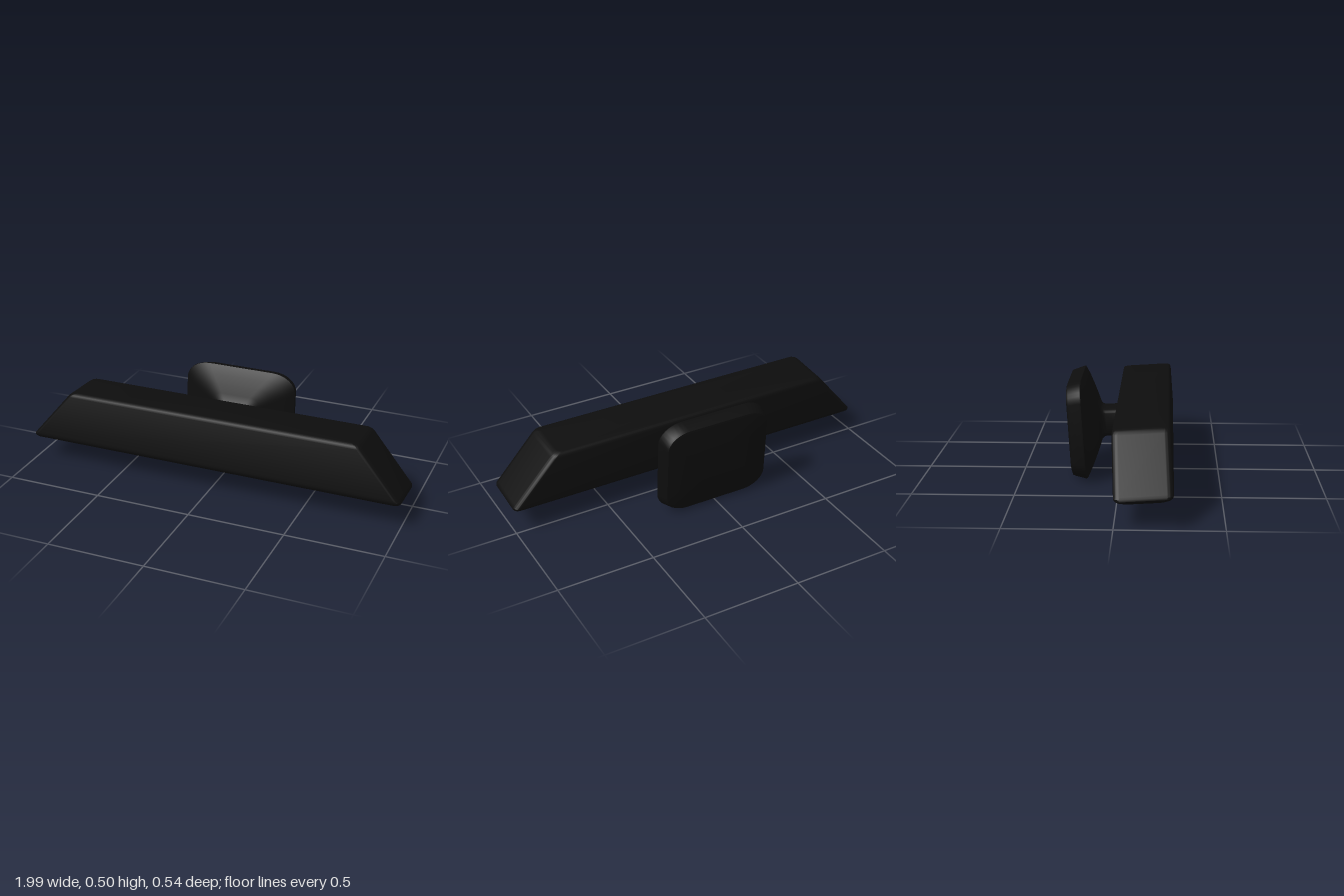
import * as THREE from 'three';
import { toCreasedNormals } from 'three/addons/utils/BufferGeometryUtils.js';

// Stack of rounded rectangles along y. Layer: [y, half width, half depth]
function loft(layers, radii, steps = 8) {
  const pos = [];
  const rings = layers.map(([y, a, b]) => {
    const [rx, rz] = radii(a, b);
    const ring = [];
    for (let q = 0; q < 4; q++) {
      const cx = (q === 0 || q === 3 ? 1 : -1) * (a - rx);
      const cz = (q < 2 ? 1 : -1) * (b - rz);
      for (let k = 0; k <= steps; k++) {
        const t = (q + k / steps) * Math.PI / 2;
        ring.push([cx + rx * Math.cos(t), y, cz + rz * Math.sin(t)]);
      }
    }
    return ring;
  });
  const tri = (...points) => points.forEach((p) => pos.push(...p));
  const n = rings[0].length;
  const last = rings.length - 1;
  for (let j = 0; j < n; j++) {
    const k = (j + 1) % n;
    for (let i = 0; i < last; i++) {
      tri(rings[i][j], rings[i + 1][j], rings[i][k]);
      tri(rings[i][k], rings[i + 1][j], rings[i + 1][k]);
    }
    tri([0, layers[0][0], 0], rings[0][j], rings[0][k]);
    tri([0, layers[last][0], 0], rings[last][k], rings[last][j]);
  }
  const geometry = new THREE.BufferGeometry();
  geometry.setAttribute('position', new THREE.Float32BufferAttribute(pos, 3));
  return toCreasedNormals(geometry, 0.6);
}

export function createModel() {
  const black = new THREE.MeshStandardMaterial({ color: 0x0d0d0d });
  black.name = 'black plastic';
  const grey = new THREE.MeshStandardMaterial({ color: 0xb0b0b0 });
  grey.name = 'grey lens';

  const model = new THREE.Group();
  model.name = 'wallSensorBar';

  // Everything leans slightly back
  const tilted = new THREE.Group();
  tilted.name = 'tiltedAssembly';
  tilted.position.set(0, 0.262, 0.126);
  tilted.rotation.x = -0.065;
  model.add(tilted);

  const add = (name, geometry, material) => {
    const mesh = new THREE.Mesh(geometry, material);
    mesh.name = name;
    tilted.add(mesh);
    return mesh;
  };

  // Long bar with sloping ends and a softly rounded underside
  add('bar', loft([
    [-0.147, 0.965, 0.06], [-0.143, 0.978, 0.1], [-0.135, 0.99, 0.122],
    [-0.126, 0.997, 0.131], [-0.116, 0.995, 0.135], [-0.105, 0.985, 0.135],
    [0.125, 0.79, 0.135], [0.136, 0.779, 0.132], [0.143, 0.768, 0.126],
    [0.147, 0.75, 0.115],
  ], () => [0.025, 0.03]), black);

  // Neck flaring into a rounded wall plate, lofted towards the back
  const mount = add('mount', loft([
    [0.1, 0.085, 0.07], [0.2, 0.085, 0.072], [0.215, 0.088, 0.075],
    [0.225, 0.096, 0.084], [0.24, 0.136, 0.122], [0.26, 0.195, 0.168],
    [0.281, 0.255, 0.211], [0.301, 0.296, 0.247], [0.305, 0.302, 0.252],
    [0.311, 0.303, 0.253], [0.366, 0.287, 0.238], [0.375, 0.282, 0.234],
    [0.379, 0.27, 0.223],
  ], (a, b) => [a * 0.42, b * 0.38]), black);
  mount.rotation.x = -Math.PI / 2;
  mount.position.y = 0.014;

  // Three lenses under the bar
  for (const x of [0.1, -0.118, -0.545]) {
    const lens = add('lens', new THREE.CylinderGeometry(0.08, 0.08, 0.006, 40), grey);
    lens.scale.z = 0.9;
    lens.position.set(x, -0.1465, 0);
  }
  return model;
}
